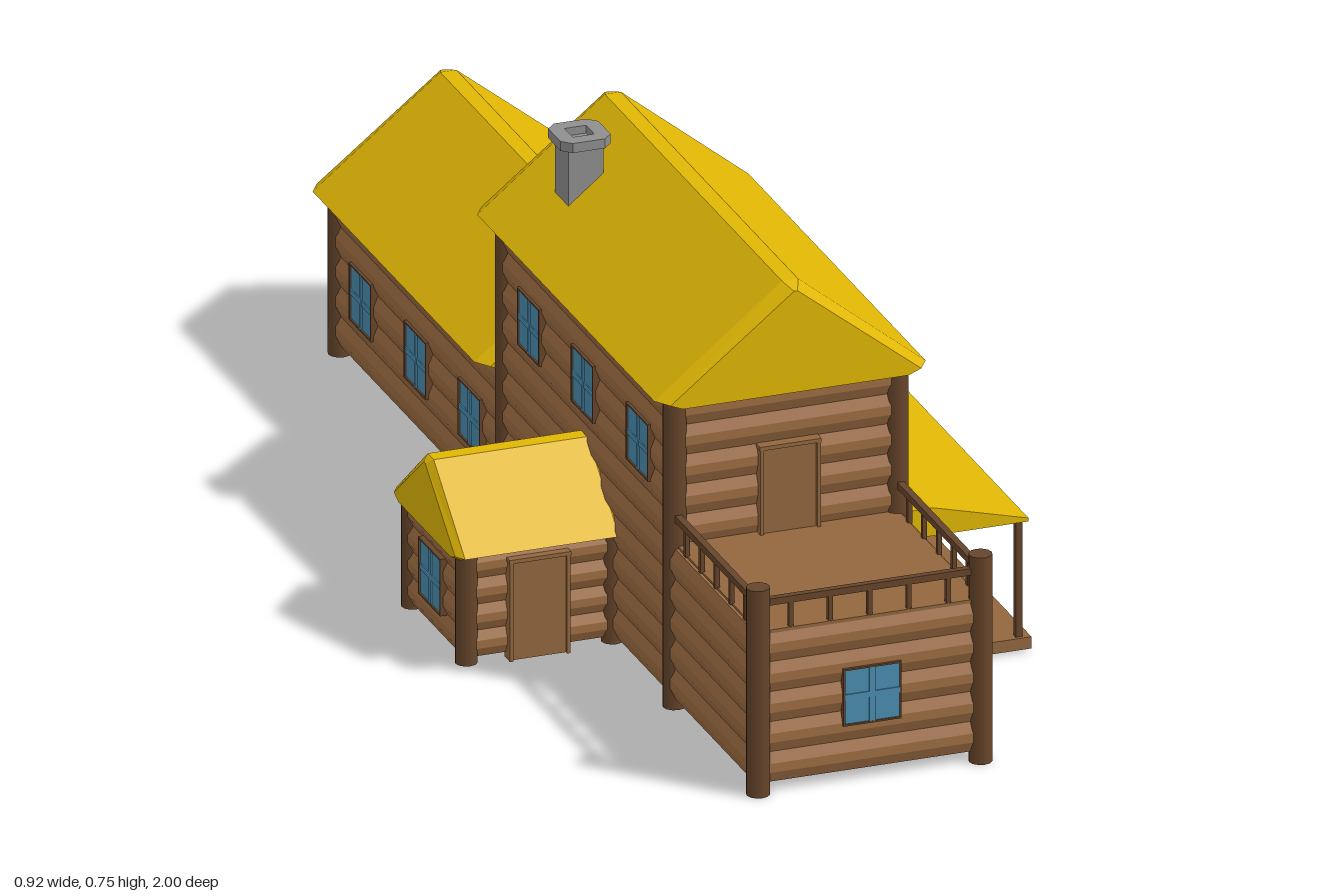
import * as THREE from 'three';

const mat = (name, color) => {
  const m = new THREE.MeshStandardMaterial({ color });
  m.name = name;
  return m;
};

// Flat-sided skin through equal rings (counter-clockwise seen from the last ring), with end caps
function loft(rings) {
  const p = [];
  const tri = (a, b, c) => p.push(...a, ...b, ...c);
  const n = rings[0].length;
  for (let r = 0; r + 1 < rings.length; r++) {
    const A = rings[r], B = rings[r + 1];
    for (let i = 0; i < n; i++) {
      const j = (i + 1) % n;
      tri(A[i], A[j], B[j]);
      tri(A[i], B[j], B[i]);
    }
  }
  const S = rings[0], E = rings[rings.length - 1];
  for (let i = 1; i + 1 < n; i++) {
    tri(S[0], S[i + 1], S[i]);
    tri(E[0], E[i], E[i + 1]);
  }
  const g = new THREE.BufferGeometry();
  g.setAttribute('position', new THREE.Float32BufferAttribute(p, 3));
  g.computeVertexNormals();
  return g;
}

// Rectangular block whose sides swell gently into stacked logs
function logBlock(x0, x1, z0, z1, y0, y1, count) {
  const rings = [], h = (y1 - y0) / count;
  const ring = (y, o) => rings.push([
    [x1 + o, y, z1 + o], [x1 + o, y, z0 - o], [x0 - o, y, z0 - o], [x0 - o, y, z1 + o]]);
  for (let i = 0; i < count; i++) {
    ring(y0 + i * h, 0.005);
    ring(y0 + (i + 0.35) * h, 0.013);
    ring(y0 + (i + 0.65) * h, 0.013);
  }
  ring(y1, 0.005);
  return loft(rings);
}

// Gable roof with ridge along z, flat ridge strip and bevelled ends
function gableRoof(half, height, z0, z1, bevel) {
  const ring = (z, d) => [
    [-half + 0.022 + d, 0, z], [half - 0.022 - d, 0, z], [half - d, 0.009, z],
    [0.014 - d * 0.6, height - d * 0.5, z], [-0.014 + d * 0.6, height - d * 0.5, z], [-half + d, 0.009, z]];
  const d = 0.018;
  return loft([ring(z0, d), ring(z0 + bevel, 0), ring(z1 - bevel, 0), ring(z1, d)]);
}

export function createModel() {
  const logs = mat('log wood', 0x9e6d43);
  const dark = mat('dark wood', 0x66452b);
  const plank = mat('plank wood', 0x92673e);
  const yellow = mat('yellow roof', 0xe0b604);
  const blue = mat('blue glass', 0x4a8db0);
  const grey = mat('grey stone', 0x8f8f8f);

  const model = new THREE.Group();
  const add = (name, geo, material, parent = model) => {
    const m = new THREE.Mesh(geo, material);
    m.name = name;
    parent.add(m);
    return m;
  };
  const box = (name, x0, x1, y0, y1, z0, z1, material, parent) => {
    const m = add(name, new THREE.BoxGeometry(x1 - x0, y1 - y0, z1 - z0), material, parent);
    m.position.set((x0 + x1) / 2, (y0 + y1) / 2, (z0 + z1) / 2);
    return m;
  };
  const post = (name, x, z, y0, y1, r) => {
    const m = add(name, new THREE.CylinderGeometry(r, r, y1 - y0, 12), dark);
    m.position.set(x, (y0 + y1) / 2, z);
  };
  const L = -0.17, R = 0.22, MID = 0.025;

  // Log walls
  const walls = [
    ['mainHouse', L, R, -0.185, 0.592, 0.556, 10],
    ['terraceBase', L, R, 0.592, 0.978, 0.288, 5],
    ['rearWing', L, R, -0.96, -0.185, 0.286, 5],
    ['sideWing', -0.434, L, 0.075, 0.325, 0.206, 4],
  ];
  for (const [name, x0, x1, z0, z1, top, n] of walls) {
    add(name + 'Walls', logBlock(x0, x1, z0, z1, 0.02, top, n), logs);
  }

  // Corner posts
  for (const x of [L, R]) {
    post('terracePost', x, 0.98, 0, 0.37, 0.02);
    post('mainFrontPost', x, 0.592, 0, 0.555, 0.02);
    post('mainBackPost', x, -0.185, 0, 0.555, 0.02);
    post('rearWingPost', x, -0.96, 0, 0.285, 0.02);
  }
  for (const z of [0.075, 0.325]) {
    post('sideWingPost', -0.434, z, 0.01, 0.205, 0.019);
    post('sideWingInnerPost', -0.178, z, 0.01, 0.205, 0.019);
  }

  // Gable roofs
  add('mainRoof', gableRoof(0.238, 0.19, -0.237, 0.64, 0.028), yellow).position.set(MID, 0.55, 0);
  add('rearWingRoof', gableRoof(0.238, 0.188, -1, -0.195, 0.028), yellow).position.set(MID, 0.281, 0);
  const sideRoof = add('sideWingRoof', gableRoof(0.16, 0.129, -0.46, -0.168, 0.011), yellow);
  sideRoof.rotation.y = Math.PI / 2;
  sideRoof.position.set(0, 0.2, 0.2);

  // Side porch: floor, sloping roof and thin posts
  box('porchFloor', 0.225, 0.457, 0.005, 0.026, -0.19, 0.59, plank);
  const slope = [[0.222, 0.233], [0.452, 0.233], [0.452, 0.239], [0.285, 0.283], [0.222, 0.283]];
  add('porchRoof', loft([-0.19, 0.59].map(z => slope.map(([x, y]) => [x, y, z]))), yellow);
  for (const z of [-0.178, 0.578]) box('porchPost', 0.432, 0.444, 0.02, 0.236, z - 0.006, z + 0.006, dark);

  // Terrace deck and railing
  box('terraceDeck', L, R, 0.286, 0.292, 0.592, 0.985, plank);
  box('frontRail', L, R, 0.336, 0.348, 0.974, 0.986, dark);
  for (let i = 0; i < 5; i++) {
    const x = MID + (i - 2) * 0.069;
    box('frontBaluster', x - 0.004, x + 0.004, 0.29, 0.338, 0.976, 0.984, dark);
  }
  for (const x of [L, R]) {
    box('sideRail', x - 0.006, x + 0.006, 0.336, 0.348, 0.592, 0.98, dark);
    for (let i = 0; i < 5; i++) {
      const z = 0.65 + i * 0.069;
      box('sideBaluster', x - 0.004, x + 0.004, 0.29, 0.338, z - 0.004, z + 0.004, dark);
    }
  }

  // Window facing local +z: slim dark frame, glass and raised cross bars
  const addWindow = (x, y, z, turn, width = 1) => {
    const w = new THREE.Group();
    w.name = 'window';
    const h = 0.048;
    box('glass', -h, h, -h, h, -0.01, 0.015, blue, w);
    for (const s of [-1, 1]) {
      const a = s * 0.0495;
      box('frameSide', a - 0.0015, a + 0.0015, -0.051, 0.051, -0.01, 0.018, dark, w);
      box('frameBar', -h, h, a - 0.0015, a + 0.0015, -0.01, 0.018, dark, w);
    }
    box('uprightMullion', -0.005, 0.005, -h, h, 0.015, 0.0175, blue, w);
    box('crossMullion', -h, h, -0.005, 0.005, 0.015, 0.017, blue, w);
    w.position.set(x, y, z);
    w.rotation.y = turn * Math.PI / 2;
    w.scale.x = width;
    model.add(w);
  };
  addWindow(MID, 0.155, 0.978, 0);
  addWindow(MID, 0.15, -0.96, 2);
  addWindow(R, 0.123, 0.092, 1);
  for (const z of [-0.04, 0.465]) addWindow(R, 0.423, z, 1);
  for (const z of [-0.82, -0.315]) addWindow(R, 0.15, z, 1);
  for (const z of [-0.04, 0.21, 0.465]) addWindow(L, 0.423, z, 3);
  for (const z of [-0.82, -0.565, -0.315, -0.04]) addWindow(L, 0.15, z, 3);
  addWindow(-0.3, 0.115, 0.075, 2, 0.82);
  addWindow(-0.434, 0.115, 0.2, 3);

  // Door facing local +z: panel with jambs and lintel
  const addDoor = (x, y, z, turn, height, depth) => {
    const d = new THREE.Group();
    d.name = 'door';
    box('doorPanel', -0.047, 0.047, 0, height - 0.007, 0, depth - 0.006, plank, d);
    for (const s of [-1, 1]) box('doorJamb', s * 0.05 - 0.003, s * 0.05 + 0.003, 0, height - 0.007, 0, depth, plank, d);
    box('doorLintel', -0.054, 0.054, height - 0.007, height, 0, depth + 0.001, plank, d);
    d.position.set(x, y, z);
    d.rotation.y = turn * Math.PI / 2;
    model.add(d);
  };
  addDoor(MID, 0.288, 0.592, 0, 0.162, 0.024);
  addDoor(R, 0.022, 0.35, 1, 0.17, 0.029);
  addDoor(-0.314, 0.01, 0.325, 0, 0.182, 0.026);

  // Chimney: shaft and chamfered hollow cap
  const chimney = new THREE.Group();
  chimney.name = 'chimney';
  box('chimneyShaft', -0.031, 0.031, 0.6, 0.736, -0.031, 0.031, grey, chimney);
  const toPoints = list => list.map(([x, y]) => new THREE.Vector2(x, y));
  const a = 0.044, b = 0.028, q = 0.019;
  const cap = new THREE.Shape(toPoints([[a, -b], [a, b], [b, a], [-b, a], [-a, b], [-a, -b], [-b, -a], [b, -a]]));
  cap.holes.push(new THREE.Path(toPoints([[-q, -q], [-q, q], [q, q], [q, -q]])));
  const capMesh = add('chimneyCap', new THREE.ExtrudeGeometry(cap, { depth: 0.017, bevelEnabled: false }), grey, chimney);
  capMesh.rotation.x = -Math.PI / 2;
  capMesh.position.y = 0.733;
  chimney.position.set(-0.09, 0, -0.06);
  model.add(chimney);

  return model;
}
